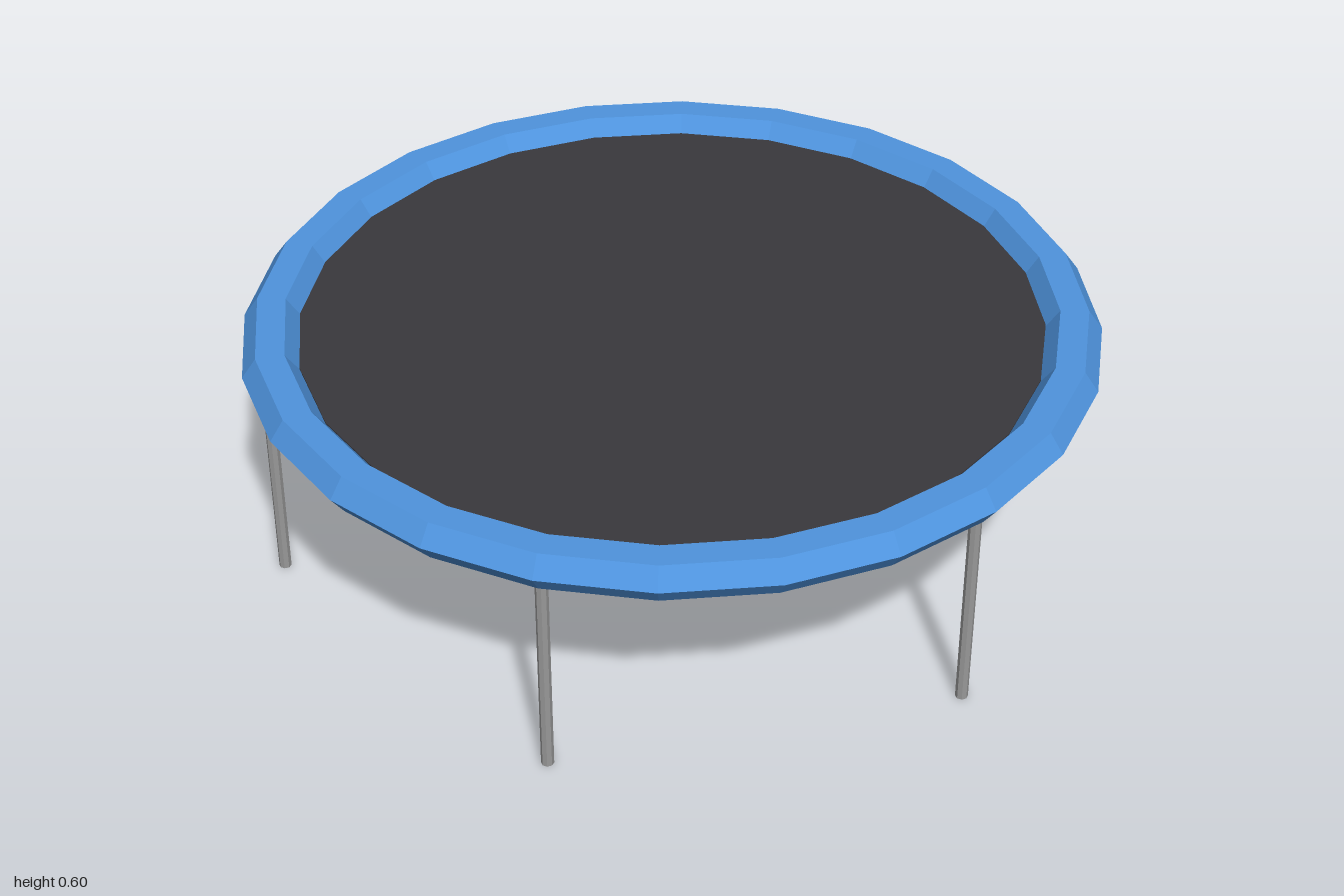
import * as THREE from 'three';

function material(name, color) {
  const m = new THREE.MeshStandardMaterial({ color, flatShading: true });
  m.name = name;
  return m;
}

export function createModel() {
  const model = new THREE.Group();
  model.name = 'trampoline';
  const blue = material('blue padding', 0x4f94de);
  const black = material('black fabric', 0x39383d);
  const steel = material('grey steel', 0x999999);

  function add(name, geometry, mat, x, y, z) {
    const mesh = new THREE.Mesh(geometry, mat);
    mesh.name = name;
    mesh.position.set(x, y, z);
    model.add(mesh);
  }

  // Padded rim: a slightly flattened ring with a hexagonal section
  const rim = new THREE.TorusGeometry(0.9333, 0.0667, 6, 24);
  rim.rotateX(-Math.PI / 2);
  rim.scale(1, 0.8, 1);
  add('rim', rim, blue, 0, 0.55, 0);

  // Jumping mat, its corners aligned with those of the rim
  add('mat', new THREE.CylinderGeometry(0.869, 0.869, 0.013, 24), black, 0, 0.55, 0);

  // Six legs, their tops hidden in the rim
  const legHeight = 0.54;
  const leg = new THREE.CylinderGeometry(0.0145, 0.0145, legHeight, 8);
  for (let i = 0; i < 6; i++) {
    const a = (i * Math.PI) / 3;
    add('leg' + (i + 1), leg, steel, 0.946 * Math.cos(a), legHeight / 2, 0.946 * Math.sin(a));
  }
  return model;
}
